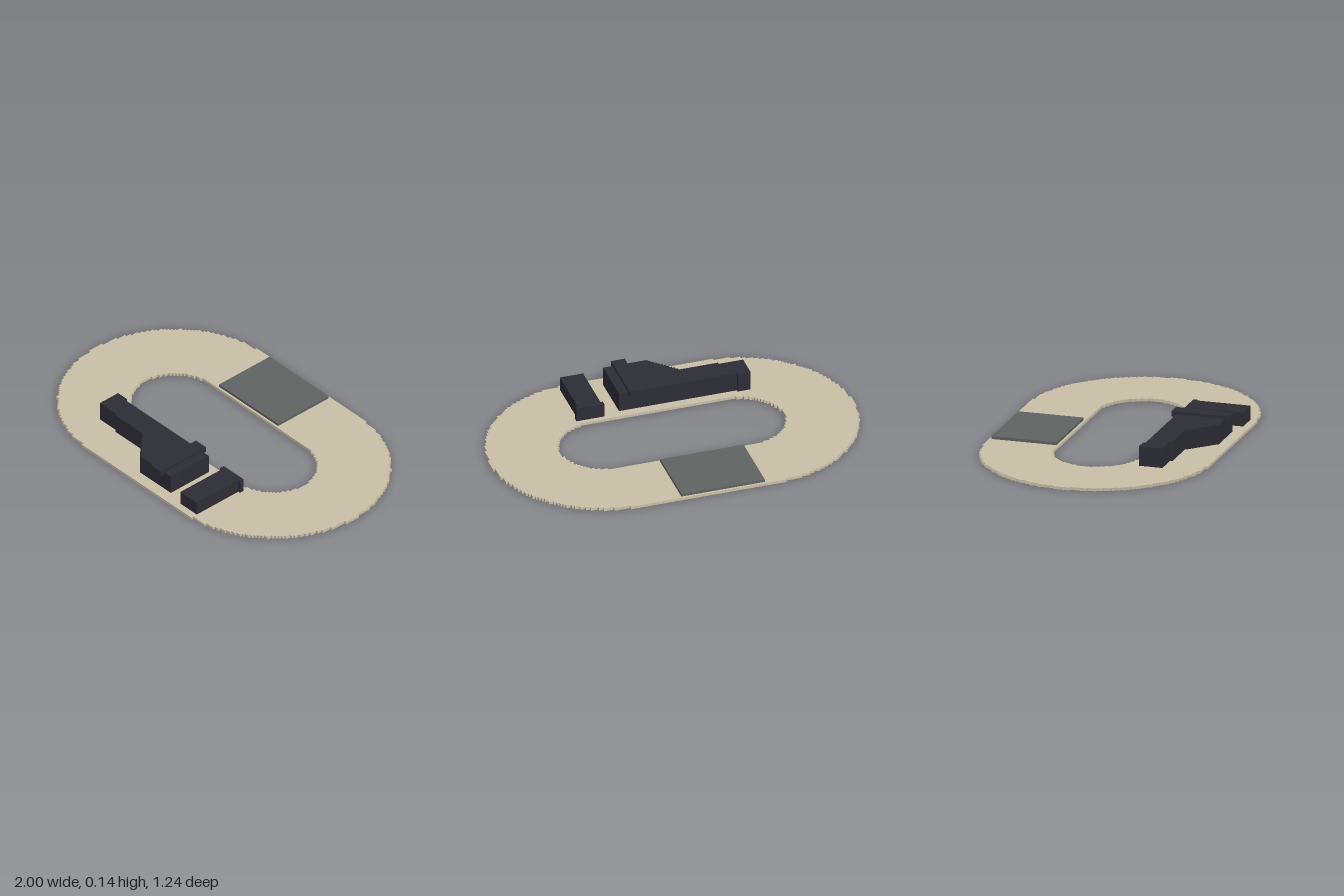
import * as THREE from 'three';

const U = 2 / 157; // horizontal block size
const V = U * 1.2; // height of one layer

const sand = new THREE.MeshStandardMaterial({ color: 0xc9c0a8 });
const grey = new THREE.MeshStandardMaterial({ color: 0x5f6361 });
const charcoal = new THREE.MeshStandardMaterial({ color: 0x2d2d36 });
sand.name = 'sand';
grey.name = 'grey';
charcoal.name = 'charcoal';

const toPoints = (pts) => pts.map(([x, z]) => new THREE.Vector2(x * U, z * U));

// Stepped stadium outline: straight half length 30, rounded ends of radius r
function stadium(r) {
  const n = Math.floor(r);
  const right = [];
  for (let k = -n; k <= n; k++) {
    const w = 30.5 + Math.floor(Math.sqrt(r * r - k * k));
    right.push([w, k - 0.5], [w, k + 0.5]);
  }
  const left = right.map(([x, z]) => [-x, z]).reverse();
  return toPoints([...right, ...left]);
}

// Upright prism from a plan outline (x, z), between two layers
function slab(name, points, y0, y1, material, hole) {
  const shape = new THREE.Shape(points);
  if (hole) shape.holes.push(new THREE.Path(hole));
  const geometry = new THREE.ExtrudeGeometry(shape, { depth: (y1 - y0) * V, bevelEnabled: false });
  geometry.rotateX(Math.PI / 2).translate(0, y1 * V, 0);
  const mesh = new THREE.Mesh(geometry, material);
  mesh.name = name;
  return mesh;
}

// Box from plan bounds and layer bounds
function block(name, x0, x1, z0, z1, y0, y1, material) {
  const geometry = new THREE.BoxGeometry((x1 - x0) * U, (y1 - y0) * V, (z1 - z0) * U);
  geometry.translate(((x0 + x1) / 2) * U, ((y0 + y1) / 2) * V, ((z0 + z1) / 2) * U);
  const mesh = new THREE.Mesh(geometry, material);
  mesh.name = name;
  return mesh;
}

export function createModel() {
  const model = new THREE.Group();
  model.name = 'ovalTrack';

  // Oval ground ring and paved pad
  model.add(slab('trackRing', stadium(48.1), 0, 1, sand, stadium(18.25)));
  model.add(block('pavedPad', -24.5, 11.5, -47.5, -19.5, 1, 2, grey));

  // Long building with a stepped diagonal flank
  const plan = [[-41, 21.5], [-35.5, 21.5], [-35.5, 22.5], [15.5, 22.5], [15.5, 43.5], [-3.5, 43.5]];
  for (let i = 0; i < 10; i++) plan.push([-3.5 - i, 42.5 - i], [-4.5 - i, 42.5 - i]);
  plan.push([-13.5, 32.5], [-30.5, 32.5], [-30.5, 31.5], [-41, 31.5]);
  const outline = plan.filter((p, i) => i === 0 || p[0] !== plan[i - 1][0] || p[1] !== plan[i - 1][1]);
  model.add(slab('longBuilding', toPoints(outline), 1, 8, charcoal));

  // Beam lying across the long building
  model.add(block('crossBeam', 5.5, 11.5, 20.5, 45.5, 7, 9, charcoal));

  // Separate T-shaped building
  const tee = [[22.5, 20.5], [34.5, 20.5], [34.5, 22.5], [33.5, 22.5],
    [33.5, 45.5], [23.5, 45.5], [23.5, 22.5], [22.5, 22.5]];
  model.add(slab('smallBuilding', toPoints(tee), 1, 6, charcoal));

  return model;
}
